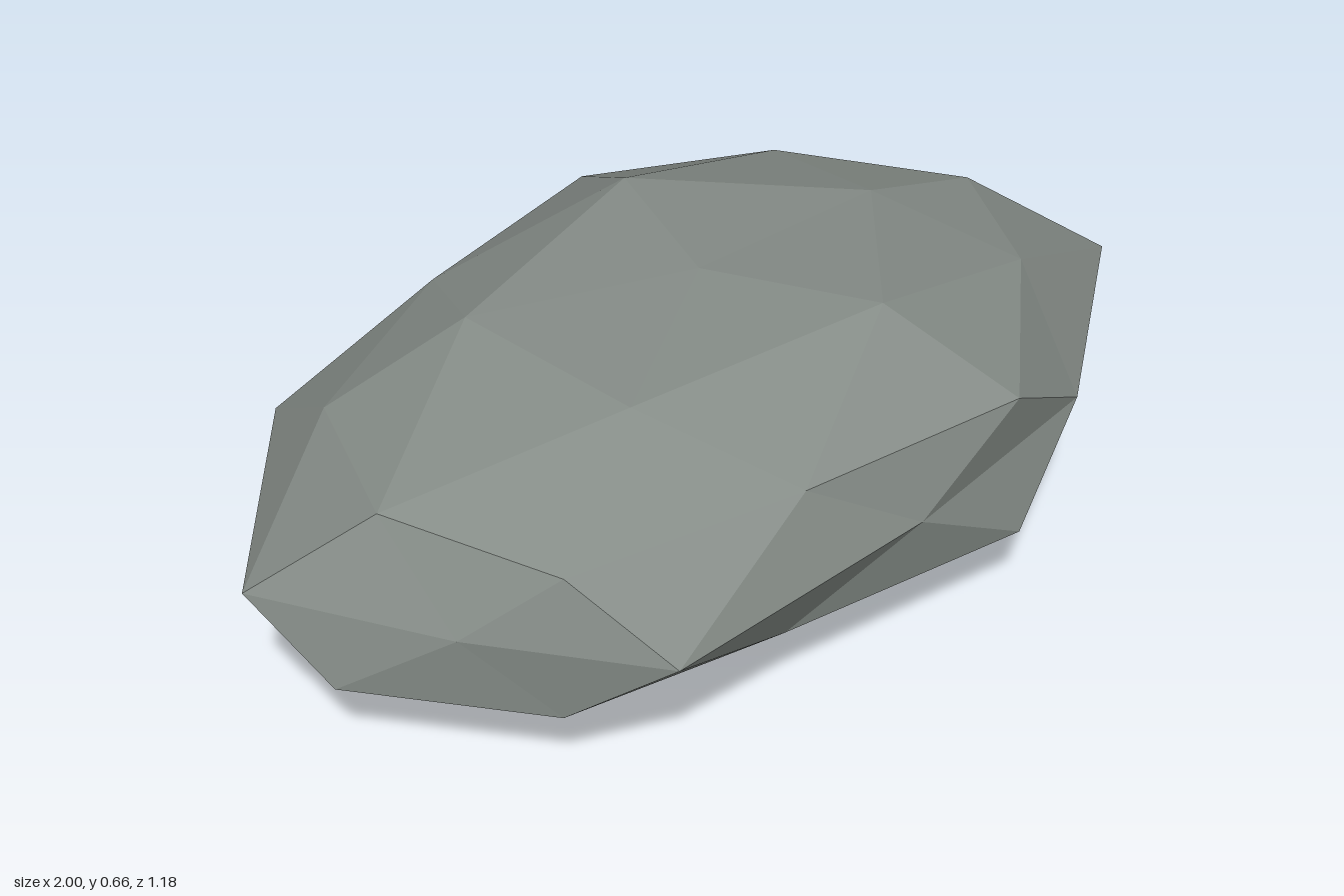
import * as THREE from 'three';

// Rings of the faceted stone, each running from +x towards +z
const TOP = [0, 0.658, 0];
const CAP = [
  [0.5, 0.613, 0], [0.15, 0.655, 0.33], [-0.4, 0.638, 0.21], [-0.4, 0.638, -0.22], [0.15, 0.652, -0.345],
];
const UPPER = [
  [0.81, 0.51, 0], [0.61, 0.53, 0.3], [0.27, 0.493, 0.57], [-0.24, 0.51, 0.49], [-0.7, 0.49, 0.34],
  [-0.825, 0.525, 0], [-0.65, 0.5, -0.345], [-0.24, 0.53, -0.49], [0.27, 0.505, -0.59], [0.6, 0.525, -0.35],
];
const GIRDLE = [ // x, z at mid height
  [1, 0.22], [0.52, 0.525], [0, 0.568], [-0.62, 0.54], [-0.83, 0.2],
  [-1, -0.18], [-0.58, -0.583], [0, -0.58], [0.52, -0.48], [0.92, -0.2],
].map(([x, z]) => [x, 0.35, z]);
const LOWER = [
  [0.83, 0.18, 0], [0.71, 0.195, 0.33], [0.275, 0.188, 0.588], [-0.29, 0.215, 0.49], [-0.72, 0.195, 0.35],
  [-0.95, 0.2, 0], [-0.7, 0.19, -0.36], [-0.28, 0.2, -0.52], [0.27, 0.168, -0.568], [0.71, 0.205, -0.33],
];
const BASE = [
  [0.44, 0.06, 0.2], [-0.16, 0.06, 0.29], [-0.49, 0.105, 0], [-0.16, 0.06, -0.34], [0.44, 0.06, -0.18],
];
const BOTTOM = [0, 0, 0];

function stoneGeometry() {
  const pos = [];
  const at = (ring, i) => ring[(i + ring.length) % ring.length];
  const tri = (a, b, c) => pos.push(...a, ...b, ...c);

  // Top and bottom caps
  for (let k = 0; k < 5; k++) {
    const a = CAP[k], a2 = at(CAP, k + 1), u = 2 * k;
    tri(TOP, a2, a);
    tri(a, at(UPPER, u + 1), at(UPPER, u));
    tri(a, at(UPPER, u), at(UPPER, u - 1));
    tri(a, a2, at(UPPER, u + 1));

    const b = BASE[k], b2 = at(BASE, k + 1), l = 2 * k + 1;
    tri(BOTTOM, b, b2);
    tri(b, at(LOWER, l), at(LOWER, l + 1));
    tri(b, at(LOWER, l - 1), at(LOWER, l));
    tri(b, at(LOWER, l + 1), b2);
  }

  // Bands above and below the girdle
  for (let i = 0; i < 10; i++) {
    const e = GIRDLE[i], before = at(GIRDLE, i - 1);
    tri(UPPER[i], at(UPPER, i + 1), e);
    tri(UPPER[i], e, before);
    tri(LOWER[i], e, at(LOWER, i + 1));
    tri(LOWER[i], before, e);
  }

  const geometry = new THREE.BufferGeometry();
  geometry.setAttribute('position', new THREE.Float32BufferAttribute(pos, 3));
  geometry.computeVertexNormals();
  return geometry;
}

export function createModel() {
  const group = new THREE.Group();
  group.name = 'rock';
  const stoneGrey = new THREE.MeshStandardMaterial({ color: 0x868d88, flatShading: true });
  stoneGrey.name = 'stone grey';
  const stone = new THREE.Mesh(stoneGeometry(), stoneGrey);
  stone.name = 'stone';
  group.add(stone);
  return group;
}
